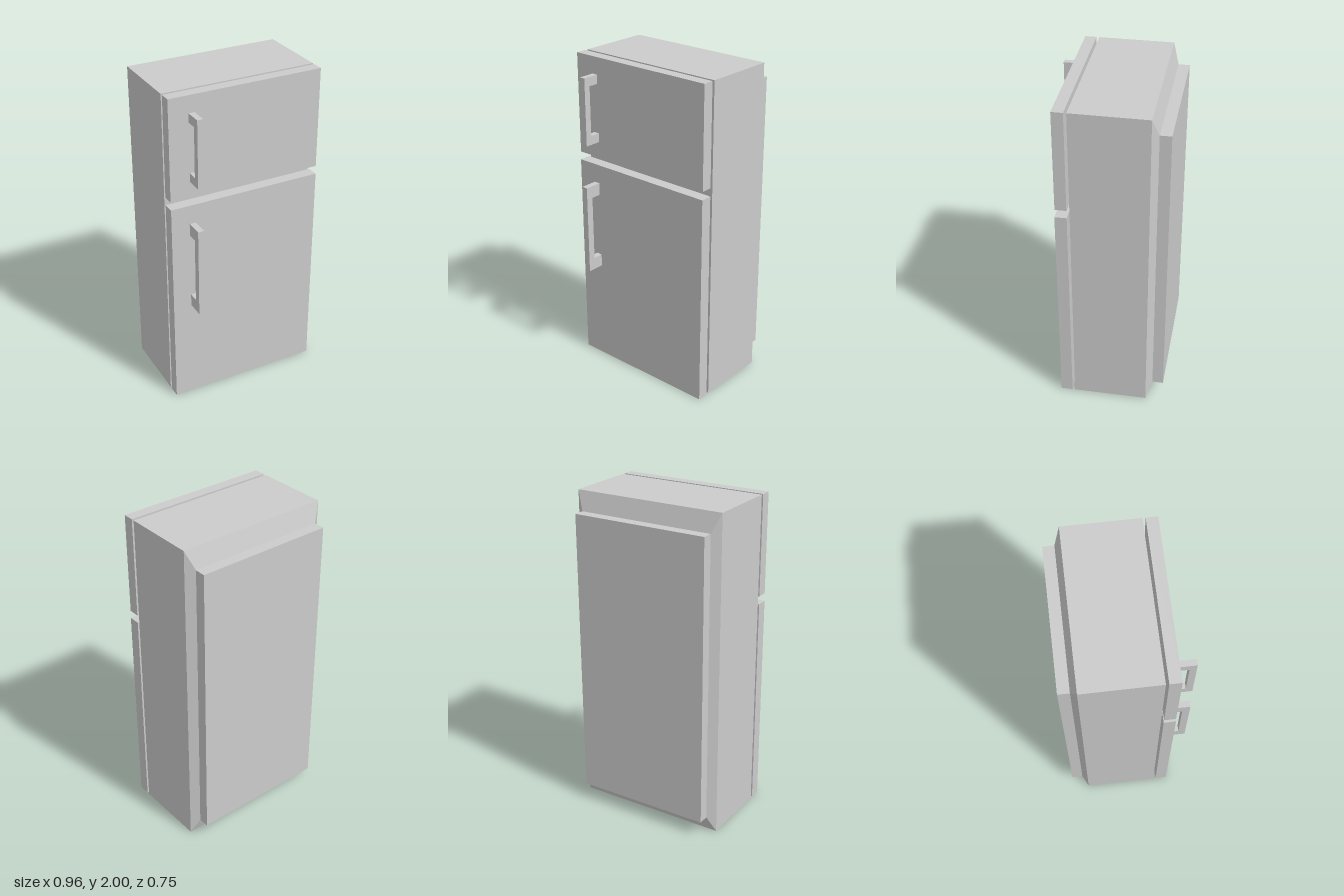
import * as THREE from 'three';

const material = new THREE.MeshStandardMaterial({ color: 0xcccccc, flatShading: true });

// Box given by its min and max on each axis
function box(name, [x0, x1], [y0, y1], [z0, z1]) {
  const mesh = new THREE.Mesh(new THREE.BoxGeometry(x1 - x0, y1 - y0, z1 - z0), material);
  mesh.position.set((x0 + x1) / 2, (y0 + y1) / 2, (z0 + z1) / 2);
  mesh.name = name;
  return mesh;
}

// Cabinet: a box in two depth sections, the rear one narrowing to the back panel
function cabinet() {
  const geometry = new THREE.BoxGeometry(0.956, 2, 2, 1, 1, 2);
  const p = geometry.attributes.position;
  for (let i = 0; i < p.count; i++) {
    const section = Math.round(p.getZ(i));
    if (section < 0) {
      p.setX(i, Math.sign(p.getX(i)) * 0.428);
      p.setY(i, p.getY(i) > 0 ? 0.885 : -0.9);
    }
    p.setZ(i, [-0.308, -0.272, 0.18][section + 1]);
  }
  geometry.computeVertexNormals();
  const mesh = new THREE.Mesh(geometry, material);
  mesh.position.y = 1;
  mesh.name = 'cabinet';
  return mesh;
}

// Handle: a C-shaped side profile extruded across its width
function handle(name, [x0, x1], [y0, y1], [z0, z1], grip, post) {
  const profile = [
    [z0, y0], [z1, y0], [z1, y1], [z0, y1],
    [z0, y1 - post], [z1 - grip, y1 - post], [z1 - grip, y0 + post], [z0, y0 + post],
  ].map(([z, y]) => new THREE.Vector2(-z, y));
  const geometry = new THREE.ExtrudeGeometry(new THREE.Shape(profile), {
    depth: x1 - x0, bevelEnabled: false,
  });
  geometry.rotateY(Math.PI / 2); // profile -z becomes +z, depth becomes +x
  const mesh = new THREE.Mesh(geometry, material);
  mesh.position.x = x0;
  mesh.name = name;
  return mesh;
}

export function createModel() {
  const model = new THREE.Group();
  model.name = 'refrigerator';
  const width = [-0.478, 0.478];

  model.add(
    cabinet(),
    box('backPanel', [-0.428, 0.428], [0.1, 1.885], [-0.375, -0.308]),
    // Doors, standing slightly clear of the cabinet
    box('freezerDoor', width, [1.38, 2], [0.197, 0.265]),
    box('fridgeDoor', width, [0, 1.33], [0.197, 0.268]),
    // Door handles
    handle('freezerHandle', [-0.356, -0.32], [1.48, 1.895], [0.265, 0.368], 0.04, 0.055),
    handle('fridgeHandle', [-0.364, -0.326], [0.65, 1.212], [0.268, 0.375], 0.044, 0.076),
  );
  return model;
}
